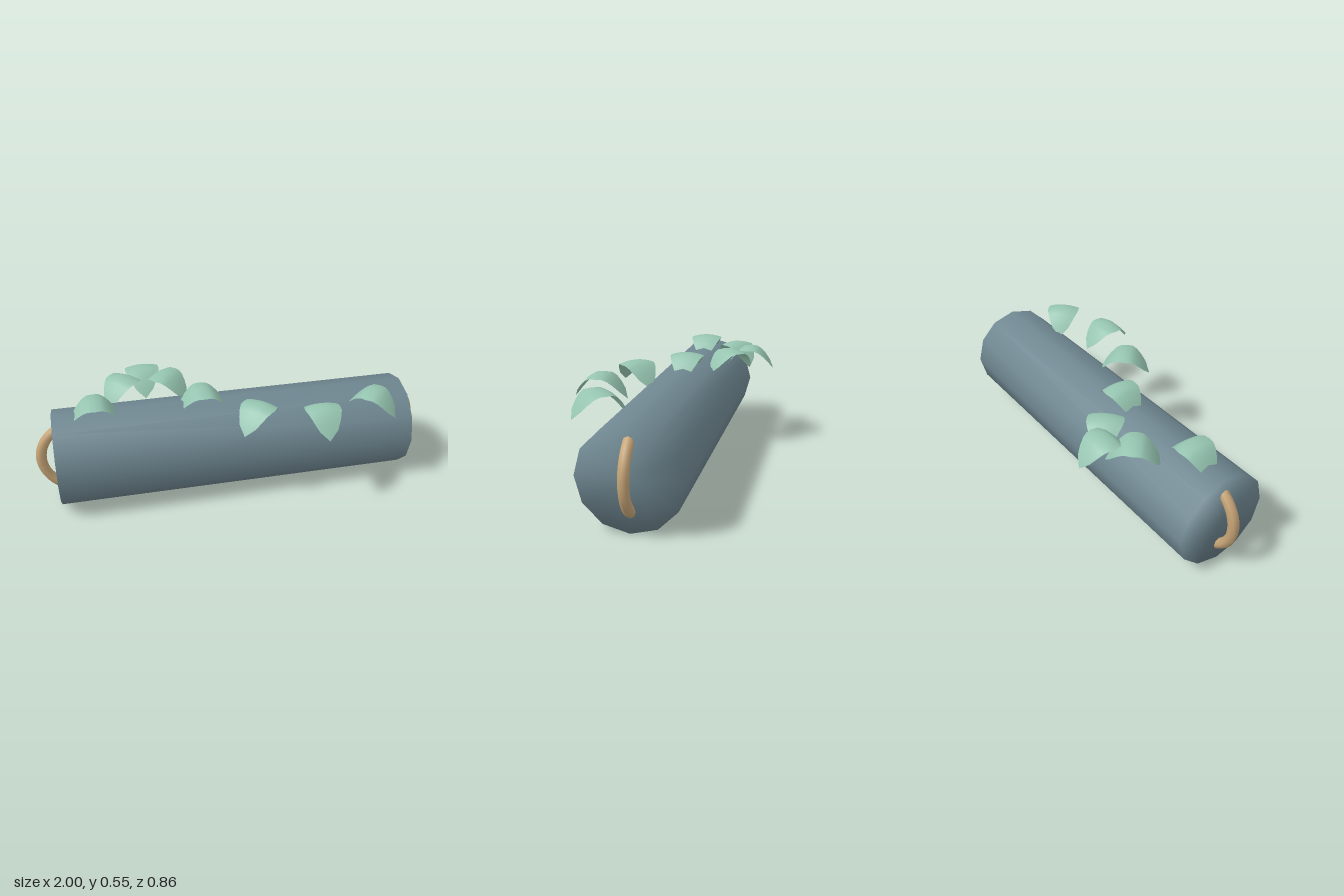
import * as THREE from 'three';
import { mergeVertices } from 'three/addons/utils/BufferGeometryUtils.js';

const bodyMat = new THREE.MeshStandardMaterial({ color: 0x6f8791 });
const handleMat = new THREE.MeshStandardMaterial({ color: 0xc8a678 });
const leafMat = new THREE.MeshStandardMaterial({ color: 0x95c4b0, side: THREE.DoubleSide });

// Half profile of a leaf from its crest to its tip: [distance, height, half width]
const LEAF = [
  [0, 0.55, 0.088], [0.03, 0.548, 0.084], [0.055, 0.533, 0.075],
  [0.08, 0.507, 0.062], [0.105, 0.474, 0.044], [0.13, 0.43, 0],
];

// Arched leaf, pointed at both ends, lying along z
function leafGeometry() {
  const n = LEAF.length - 1;
  const geo = new THREE.PlaneGeometry(2, 2, 6, 2 * n);
  const p = geo.attributes.position;
  for (let i = 0; i < p.count; i++) {
    const across = p.getX(i);
    const k = Math.round(-p.getY(i) * n);
    const [d, h, w] = LEAF[Math.abs(k)];
    const drop = 0.015 * (across * w / 0.088) ** 2;
    p.setXYZ(i, across * w, h - drop, Math.sign(k) * d);
  }
  geo.computeVertexNormals();
  return geo;
}

export function createModel() {
  const model = new THREE.Group();
  const add = (name, geo, mat) => {
    const mesh = new THREE.Mesh(geo, mat);
    mesh.name = name;
    model.add(mesh);
    return mesh;
  };

  // Twelve-sided log, softly shaded across its ends and tilted a touch
  let log = new THREE.CylinderGeometry(0.239, 0.239, 1.8, 12);
  log.deleteAttribute('uv');
  log.deleteAttribute('normal');
  log = mergeVertices(log);
  log.computeVertexNormals();
  log.rotateZ(Math.PI / 2);
  const body = add('body', log, bodyMat);
  body.position.y = 0.245;
  body.rotation.z = -0.006;

  // Bowed handles, with their ends sunk into the log
  const arc = 2.2;
  const ring = new THREE.TorusGeometry(0.185, 0.026, 8, 18, arc);
  ring.rotateZ(-arc / 2);
  for (const side of [1, -1]) {
    const handle = add(side > 0 ? 'leftHandle' : 'rightHandle', ring, handleMat);
    handle.position.set(side * 0.789, 0.25, 0);
    handle.rotation.y = side > 0 ? 0 : Math.PI;
  }

  // Leaves: [x, z, heading]
  const q = Math.PI / 4;
  const leaf = leafGeometry();
  const leaves = [
    [-0.69, 0, 2 * q], [-0.155, 0, 2 * q],
    [-0.42, -0.3, 0], [-0.528, -0.208, -q], [-0.312, -0.208, q],
    [0.375, 0.295, 0], [0.083, 0.206, -q], [0.667, 0.206, q],
  ];
  leaves.forEach(([x, z, heading], i) => {
    const mesh = add('leaf' + (i + 1), leaf, leafMat);
    mesh.position.set(x, 0, z);
    mesh.rotation.y = heading;
  });

  return model;
}
